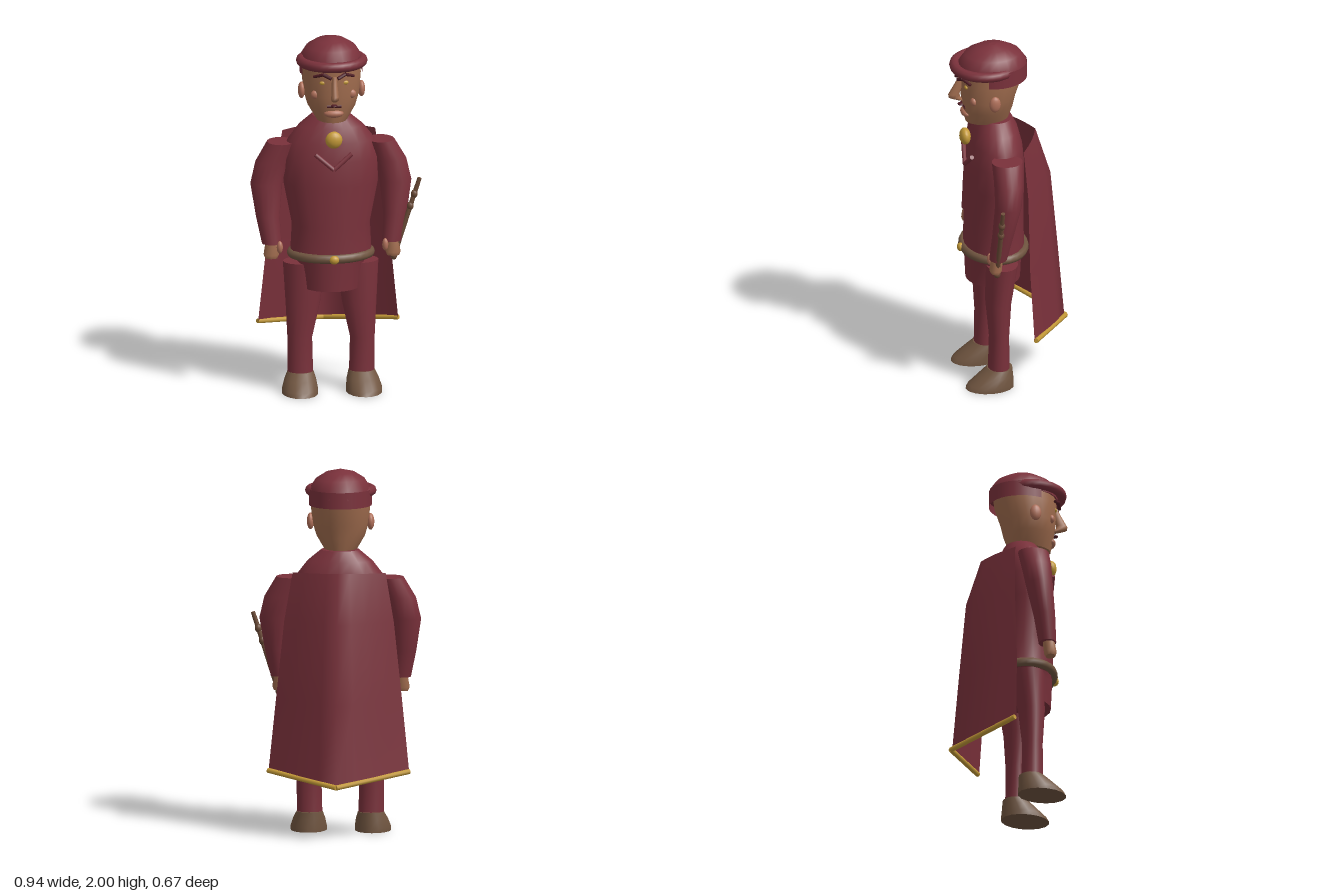
import * as THREE from 'three';

const mat = (name, color, side = THREE.FrontSide) => {
  const m = new THREE.MeshStandardMaterial({ color, side });
  m.name = name;
  return m;
};

// Closed loft through horizontal ellipses, listed upward as [y, cx, cz, rx, rz]
function loft(sections, n = 16) {
  const pos = [], idx = [];
  const ring = ([y, cx, cz, rx, rz]) => {
    for (let j = 0; j < n; j++) {
      const a = (j / n) * Math.PI * 2;
      pos.push(cx + Math.sin(a) * rx, y, cz + Math.cos(a) * rz);
    }
  };
  sections.forEach(ring);
  for (let i = 0; i < sections.length - 1; i++) {
    for (let j = 0; j < n; j++) {
      const a = i * n + j, b = i * n + (j + 1) % n;
      idx.push(a, b, b + n, a, b + n, a + n);
    }
  }
  // separate cap vertices keep the rims sharp
  [sections[0], sections[sections.length - 1]].forEach((s, top) => {
    const start = pos.length / 3;
    ring(s);
    pos.push(s[1], s[0], s[2]);
    for (let j = 0; j < n; j++) {
      const a = start + j, b = start + (j + 1) % n;
      idx.push(start + n, top ? a : b, top ? b : a);
    }
  });
  const g = new THREE.BufferGeometry();
  g.setAttribute('position', new THREE.Float32BufferAttribute(pos, 3));
  g.setIndex(idx);
  g.computeVertexNormals();
  return g;
}

const ball = (rx, ry, rz) => new THREE.SphereGeometry(1, 14, 10).scale(rx, ry, rz);

// Straight rod between two points
function rod(a, b, r0, r1 = r0, sides = 8) {
  const p = new THREE.Vector3(...a), q = new THREE.Vector3(...b);
  const d = q.clone().sub(p);
  const g = new THREE.CylinderGeometry(r1, r0, d.length(), sides);
  g.applyQuaternion(new THREE.Quaternion().setFromUnitVectors(new THREE.Vector3(0, 1, 0), d.normalize()));
  return g.translate(...p.add(q).multiplyScalar(0.5).toArray());
}

// Cape sheet folded along the spine, rows of [yEdge, yMid, halfWidth, zEdge, zMid]
function capeSheet(rows) {
  const cols = 9, pos = [], idx = [];
  rows.forEach(([ye, ym, w, ze, zm], i) => {
    for (let j = 0; j < cols; j++) {
      const u = j / 4 - 1, k = Math.abs(u);
      pos.push(u * w, ym + (ye - ym) * k, zm + (ze - zm) * k - 0.012 * Math.sin(k * Math.PI));
      if (i && j) {
        const a = i * cols + j, b = a - cols;
        idx.push(b - 1, b, a, b - 1, a, a - 1);
      }
    }
  });
  const g = new THREE.BufferGeometry();
  g.setAttribute('position', new THREE.Float32BufferAttribute(pos, 3));
  g.setIndex(idx);
  g.computeVertexNormals();
  return g;
}

export function createModel() {
  const cloth = mat('maroon cloth', 0x7a313b);
  const capeCloth = mat('maroon cape cloth', 0x7a313b, THREE.DoubleSide);
  const trim = mat('dark maroon', 0x4f1c24);
  const skin = mat('skin', 0xa06c4e);
  const blush = mat('warm skin', 0xb0705a);
  const leather = mat('brown leather', 0x705540);
  const wood = mat('wand wood', 0x6a4a36);
  const gold = mat('gold', 0xc49a38);

  const model = new THREE.Group();
  const body = new THREE.Group();
  body.name = 'figure';
  body.position.x = -0.025;
  model.add(body);
  const add = (name, geo, material, x = 0, y = 0, z = 0) => {
    const m = new THREE.Mesh(geo, material);
    m.name = name;
    m.position.set(x, y, z);
    body.add(m);
    return m;
  };

  // Torso and tunic skirt
  add('torso', loft([
    [0.76, 0, 0.08, 0.225, 0.165], [0.95, 0, 0.08, 0.215, 0.16], [1.18, 0, 0.08, 0.26, 0.16],
    [1.32, 0, 0.075, 0.262, 0.155], [1.42, 0, 0.07, 0.24, 0.14], [1.5, 0, 0.07, 0.178, 0.12],
    [1.56, 0, 0.07, 0.105, 0.09]], 20), cloth);
  add('tunicSkirt', loft([[0.59, 0, 0.085, 0.16, 0.15], [0.73, 0, 0.085, 0.182, 0.155], [0.78, 0, 0.085, 0.21, 0.155]], 20), cloth);

  // Belt, buckle, brooch and chest chevron
  const belt = new THREE.TorusGeometry(1, 0.12, 8, 28).rotateX(Math.PI / 2).scale(0.216, 0.21, 0.17);
  add('belt', belt, leather, 0, 0.78, 0.08);
  add('buckle', ball(0.027, 0.024, 0.02), gold, 0, 0.78, 0.265);
  add('brooch', ball(0.047, 0.048, 0.031), gold, 0, 1.455, 0.24);

  for (const s of [-1, 1]) {
    const side = s > 0 ? 'left' : 'right';
    add(side + 'Chevron', rod([s * 0.1, 1.37, 0.225], [0, 1.285, 0.24], 0.013), cloth);

    // Legs and shoes
    add(side + 'Leg', loft([
      [0.08, s * 0.168, 0.09, 0.07, 0.06], [0.3, s * 0.172, 0.09, 0.068, 0.055],
      [0.5, s * 0.155, 0.09, 0.095, 0.07], [0.73, s * 0.145, 0.07, 0.118, 0.09]]), cloth);
    add(side + 'Shoe', loft([
      [0, s * 0.176, 0.143, 0.099, 0.135], [0.025, s * 0.176, 0.135, 0.099, 0.127],
      [0.07, s * 0.172, 0.108, 0.088, 0.096], [0.11, s * 0.168, 0.085, 0.072, 0.07]]), leather);

    // Arms, fists and thumbs
    add(side + 'Arm', loft([
      [0.85, s * 0.33, 0.132, 0.054, 0.048], [1.0, s * 0.35, 0.11, 0.065, 0.058],
      [1.18, s * 0.355, 0.08, 0.088, 0.072], [1.3, s * 0.325, 0.072, 0.09, 0.08],
      [1.41, s * 0.275, 0.068, 0.075, 0.086]]), cloth);
    add(side + 'Hand', loft([
      [0.77, s * 0.335, 0.148, 0.034, 0.026], [0.79, s * 0.335, 0.147, 0.043, 0.035],
      [0.86, s * 0.33, 0.138, 0.036, 0.034]], 10), skin);
    add(side + 'Thumb', ball(0.017, 0.035, 0.018), blush, s * 0.29, 0.835, 0.168);

    // Face features
    add(side + 'Ear', ball(0.02, 0.046, 0.032), blush, s * 0.165, 1.71, 0.11);
    add(side + 'Eye', ball(0.02, 0.012, 0.01), gold, s * 0.06, 1.783, 0.248);
    add(side + 'Cheek', ball(0.025, 0.025, 0.018), blush, s * 0.1, 1.71, 0.216);
    add(side + 'BrowInner', rod([s * 0.018, 1.815, 0.285], [s * 0.06, 1.835, 0.268], 0.01), trim);
    add(side + 'BrowOuter', rod([s * 0.06, 1.835, 0.268], [s * 0.11, 1.816, 0.235], 0.01, 0.008), trim);
  }

  // Head, nose and mouth
  add('head', loft([
    [1.55, 0, 0.12, 0.085, 0.118], [1.63, 0, 0.115, 0.132, 0.138], [1.7, 0, 0.112, 0.153, 0.15],
    [1.8, 0, 0.097, 0.163, 0.17], [1.89, 0, 0.09, 0.16, 0.175]], 20), skin);
  add('nose', loft([
    [1.68, 0, 0.262, 0.014, 0.02], [1.7, 0, 0.3, 0.023, 0.032], [1.72, 0, 0.303, 0.021, 0.032],
    [1.78, 0, 0.275, 0.016, 0.025], [1.82, 0, 0.262, 0.013, 0.016]], 10), skin);
  add('upperLip', rod([-0.04, 1.648, 0.247], [0.04, 1.648, 0.247], 0.009), trim);
  add('moustacheTip', ball(0.018, 0.008, 0.02), trim, 0, 1.655, 0.262);
  add('chin', ball(0.055, 0.024, 0.03), blush, 0, 1.605, 0.235);

  // Cap: dome, low band round the back, brim roll
  add('capDome', loft([
    [1.85, 0, 0.085, 0.168, 0.19], [1.9, 0, 0.085, 0.166, 0.188], [1.95, 0, 0.085, 0.135, 0.153],
    [1.985, 0, 0.085, 0.08, 0.09], [2.0, 0, 0.085, 0.015, 0.02]], 20), cloth);
  const band = new THREE.CylinderGeometry(1, 1, 0.09, 18, 1, true, Math.PI * 0.4, Math.PI * 1.2).scale(0.172, 1, 0.19);
  add('capBackBand', band, capeCloth, 0, 1.85, 0.085);
  add('capBrim', new THREE.TorusGeometry(0.168, 0.028, 10, 28).rotateX(Math.PI / 2), cloth, 0, 1.88, 0.128);

  // Cape with gold hem
  add('cape', capeSheet([
    [1.445, 1.455, 0.255, -0.03, -0.155], [1.18, 1.18, 0.3, -0.045, -0.24],
    [0.75, 0.74, 0.345, -0.045, -0.28], [0.355, 0.3, 0.385, -0.06, -0.318]]), capeCloth);
  for (const s of [-1, 1]) {
    add('capeHem', rod([s * 0.387, 0.355, -0.068], [0, 0.298, -0.325], 0.014), gold);
  }

  // Wand held in the left hand
  const foot = [0.335, 0.75, 0.14], tip = [0.482, 1.2, 0.14];
  add('wand', rod(foot, tip, 0.016, 0.012), wood);
  for (const t of [0.03, 0.65, 0.8]) {
    add('wandKnot', ball(0.019, 0.024, 0.019), wood,
      ...foot.map((v, i) => v + (tip[i] - v) * t));
  }
  return model;
}
